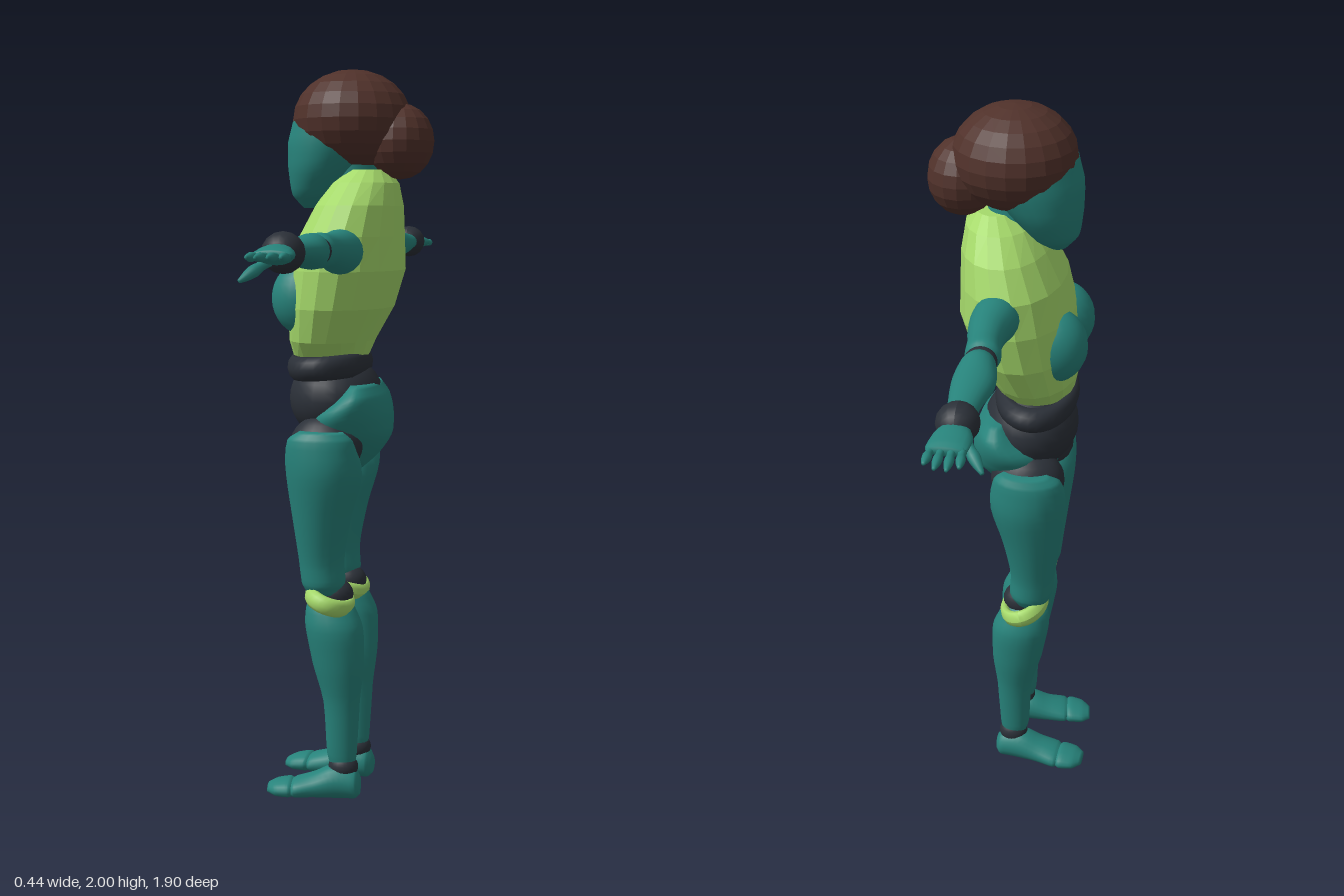
import * as THREE from 'three';

const mat = (name, color) => {
  const m = new THREE.MeshStandardMaterial({ color });
  m.name = name;
  return m;
};

// Stacked elliptical cross-sections [y, x, z, rx, rz], smoothed by splines and closed at both ends.
function loft(rings, sides = 20, sub = 4) {
  const mid = new THREE.CatmullRomCurve3(rings.map(r => new THREE.Vector3(r[1], r[0], r[2])));
  const rad = new THREE.CatmullRomCurve3(rings.map(r => new THREE.Vector3(r[3], r[4], 0)));
  const rows = (rings.length - 1) * sub, pos = [], idx = [];
  for (let i = -1; i <= rows + 1; i++) {
    const t = Math.min(Math.max(i / rows, 0), 1);
    const c = mid.getPoint(t), r = rad.getPoint(t);
    const k = i < 0 || i > rows ? 0 : 1;
    for (let j = 0; j < sides; j++) {
      const a = j / sides * Math.PI * 2;
      pos.push(c.x + k * r.x * Math.sin(a), c.y, c.z + k * r.y * Math.cos(a));
    }
  }
  for (let i = 0; i < rows + 2; i++) for (let j = 0; j < sides; j++) {
    const n = (j + 1) % sides;
    const a = i * sides + j, b = i * sides + n, c = b + sides, d = a + sides;
    if (i <= rows) idx.push(a, c, d);
    if (i > 0) idx.push(a, b, c);
  }
  const g = new THREE.BufferGeometry();
  g.setAttribute('position', new THREE.Float32BufferAttribute(pos, 3));
  g.setIndex(idx);
  g.computeVertexNormals();
  return g;
}

const ball = (rx, ry, rz, w = 24, h = 16) => new THREE.SphereGeometry(1, w, h).scale(rx, ry, rz);

// Flattened ring lying in the horizontal plane.
const band = (rx, rz, tube, h) =>
  new THREE.TorusGeometry(1, tube, 10, 32).rotateX(Math.PI / 2).scale(rx, h / tube, rz);

function faceted(g) {
  const f = g.toNonIndexed();
  f.computeVertexNormals();
  return f;
}

function mirrored(g) {
  const m = g.clone();
  m.scale(-1, 1, 1);
  const a = m.index.array;
  for (let i = 0; i < a.length; i += 3) [a[i + 1], a[i + 2]] = [a[i + 2], a[i + 1]];
  m.computeVertexNormals();
  return m;
}

export function createModel() {
  const teal = mat('teal', 0x27837b), lime = mat('lime', 0xa6da6b);
  const brown = mat('brown', 0x50312a), dark = mat('charcoal', 0x2b3038);

  // The figure is built facing +z, then turned to face -x.
  const body = new THREE.Group();
  body.name = 'figure';
  const add = (name, m, g, parent = body) => {
    const mesh = new THREE.Mesh(g, m);
    mesh.name = name;
    parent.add(mesh);
  };
  const pair = (name, m, g) => {
    add('left' + name, m, g);
    add('right' + name, m, mirrored(g));
  };

  // Head, neck and hair
  add('face', teal, loft([
    [1.635, 0, 0.11, 0.03, 0.025], [1.67, 0, 0.1, 0.08, 0.065], [1.74, 0, 0.075, 0.118, 0.1],
    [1.81, 0, 0.05, 0.13, 0.125], [1.87, 0, 0.03, 0.13, 0.13], [1.94, 0, 0.02, 0.08, 0.08]], 24));
  add('neck', teal, new THREE.CylinderGeometry(0.065, 0.075, 0.16, 20).translate(0, 1.72, 0));
  add('hair', brown, faceted(ball(0.161, 0.133, 0.16, 20, 12).translate(0, 1.867, 0)));
  add('hairBun', brown, faceted(ball(0.105, 0.1, 0.092, 16, 10).translate(0, 1.81, -0.13)));

  // Faceted top
  add('top', lime, faceted(loft([
    [1.23, 0, 0.06, 0.12, 0.1], [1.28, 0, 0.055, 0.175, 0.115], [1.37, 0, 0.03, 0.22, 0.14],
    [1.47, 0, 0.01, 0.237, 0.15], [1.56, 0, 0, 0.23, 0.137], [1.64, 0, -0.02, 0.19, 0.115],
    [1.7, 0, -0.035, 0.13, 0.09], [1.735, 0, -0.045, 0.08, 0.055]], 18, 1)));
  pair('Chest', teal, ball(0.085, 0.1, 0.09).translate(0.085, 1.395, 0.112));

  // Belt, abdomen and pelvis
  add('belt', dark, band(0.165, 0.093, 0.2, 0.033).rotateX(0.06).translate(0, 1.212, 0.062));
  add('abdomen', dark, ball(0.15, 0.12, 0.128).translate(0, 1.12, 0.045));
  add('pelvis', teal, loft([
    [0.92, 0, 0.01, 0.02, 0.03], [0.97, 0, 0, 0.08, 0.075], [1.03, 0, 0.01, 0.145, 0.12],
    [1.08, 0, 0, 0.175, 0.11], [1.13, 0, -0.03, 0.172, 0.065], [1.165, 0, -0.035, 0.13, 0.035]], 28));
  pair('HipJoint', dark, ball(0.082, 0.085, 0.1).translate(0.105, 1.0, 0.05));

  // Legs
  pair('Thigh', teal, loft([
    [1.045, 0.165, 0.05, 0.035, 0.06], [1.02, 0.155, 0.055, 0.058, 0.09], [0.92, 0.117, 0.053, 0.1, 0.103],
    [0.8, 0.106, 0.062, 0.085, 0.08], [0.68, 0.098, 0.065, 0.067, 0.062],
    [0.62, 0.098, 0.06, 0.062, 0.06], [0.59, 0.098, 0.06, 0.045, 0.045]].reverse()));
  pair('KneeJoint', dark, ball(0.048, 0.045, 0.055).translate(0.085, 0.585, 0.035));
  pair('KneeBand', lime, band(0.072, 0.056, 0.25, 0.025).rotateX(-0.36).translate(0.098, 0.573, 0.042));
  pair('Calf', teal, loft([
    [0.095, 0.084, 0.01, 0.028, 0.035], [0.13, 0.084, 0.012, 0.034, 0.042], [0.28, 0.087, 0.012, 0.046, 0.051],
    [0.39, 0.091, 0.02, 0.063, 0.072], [0.49, 0.097, 0.03, 0.067, 0.08],
    [0.55, 0.093, 0.042, 0.056, 0.068], [0.58, 0.09, 0.045, 0.035, 0.045]]));
  pair('AnkleJoint', dark, ball(0.036, 0.036, 0.042).translate(0.085, 0.092, 0.008));

  // Feet, lofted from heel to toe
  const footShape = rings => loft(rings, 18).rotateX(Math.PI / 2).rotateY(0.1).translate(0.088, 0, 0);
  pair('Foot', teal, footShape([
    [-0.04, 0, -0.04, 0.022, 0.025], [-0.025, 0, -0.045, 0.04, 0.043], [0.03, 0, -0.05, 0.045, 0.048],
    [0.09, 0, -0.037, 0.048, 0.035], [0.14, 0.003, -0.029, 0.052, 0.027], [0.155, 0.003, -0.027, 0.04, 0.02]]));
  pair('Toes', teal, footShape([
    [0.145, 0.003, -0.027, 0.042, 0.02], [0.16, 0.003, -0.028, 0.052, 0.026],
    [0.195, 0, -0.025, 0.047, 0.022], [0.22, -0.004, -0.022, 0.025, 0.013]]));

  // Arms, lofted outward along x
  const outward = (g, y = 1.53, z = -0.012) => g.rotateZ(-Math.PI / 2).translate(0, y, z);
  pair('UpperArm', teal, outward(loft([
    [0.17, 0.005, -0.002, 0.045, 0.05], [0.22, 0.008, -0.004, 0.058, 0.06], [0.3, 0.005, -0.01, 0.05, 0.05],
    [0.38, 0, -0.005, 0.042, 0.042], [0.43, 0, 0, 0.044, 0.044], [0.455, 0, 0, 0.032, 0.034]])));
  pair('ElbowJoint', dark, outward(ball(0.037, 0.035, 0.04).translate(0, 0.463, 0)));
  pair('Forearm', teal, outward(loft([
    [0.468, 0, 0, 0.036, 0.036], [0.5, 0, 0, 0.044, 0.045], [0.57, 0, 0.002, 0.037, 0.051],
    [0.66, -0.002, 0, 0.028, 0.04], [0.74, -0.002, 0, 0.024, 0.03]])));
  pair('WristCuff', dark, outward(ball(0.048, 0.05, 0.05, 16, 12).translate(-0.003, 0.758, 0)));
  pair('Palm', teal, outward(loft([
    [0.78, 0, 0, 0.022, 0.032], [0.82, 0, 0, 0.023, 0.045],
    [0.86, 0, -0.004, 0.017, 0.047], [0.88, 0, -0.005, 0.01, 0.042]], 16)));

  // Fingers with knuckle swellings
  const finger = (len, r) => loft([
    [0, 0, 0, r, r], [len * 0.25, 0, 0, r * 0.85, r * 0.85], [len * 0.5, 0, 0, r * 1.05, r * 1.05],
    [len * 0.75, 0, 0, r * 0.8, r * 0.8], [len, 0, 0, r * 0.35, r * 0.35]], 10, 3);
  [[0.033, 0.065], [0.011, 0.08], [-0.012, 0.077], [-0.035, 0.06]].forEach(([z, len], i) =>
    pair('Finger' + (i + 1), teal, finger(len, 0.0105)
      .rotateX((z + 0.002) * 2).translate(0.003, 0.87, z - 0.003)
      .rotateZ(-Math.PI / 2).translate(0, 1.53, -0.012)));
  pair('Thumb', teal, finger(0.09, 0.014)
    .rotateX(0.55).rotateZ(-2.15).translate(0.8, 1.515, 0.012));

  body.rotation.y = -Math.PI / 2;
  const model = new THREE.Group();
  model.name = 'model';
  model.add(body);
  return model;
}
